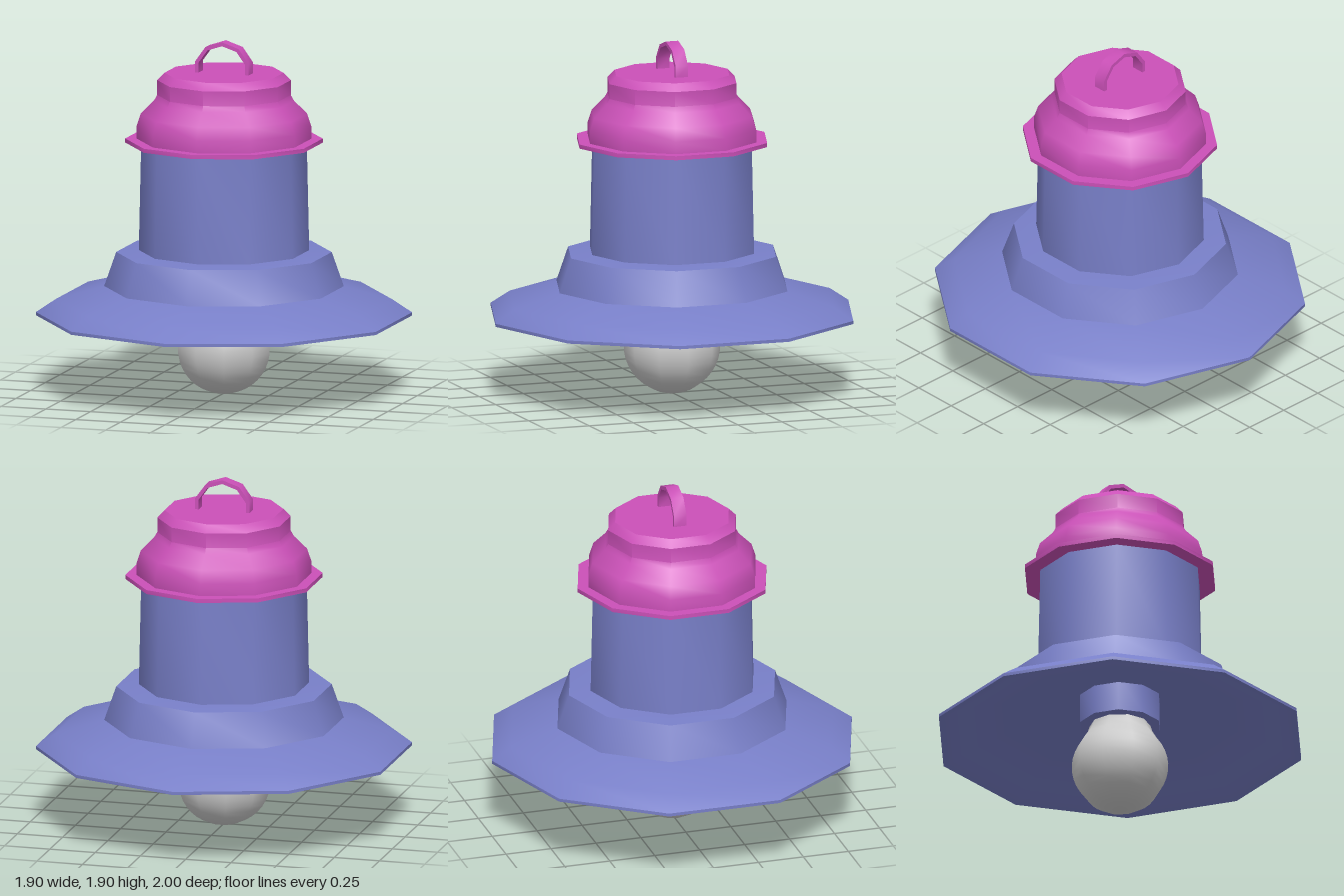
import * as THREE from 'three';
import { toCreasedNormals } from 'three/addons/utils/BufferGeometryUtils.js';

const SIDES = 10;
const CREASE = 0.7;

const blue = new THREE.MeshStandardMaterial({ color: 0x787fc8 });
const magenta = new THREE.MeshStandardMaterial({ color: 0xcb50b8 });
const grey = new THREE.MeshStandardMaterial({ color: 0xcccccc });

// Ten-sided turned part from [radius, height] pairs, listed bottom to top
function turned(name, profile, material) {
  const points = profile.map(([r, y]) => new THREE.Vector2(r, y));
  const geometry = toCreasedNormals(new THREE.LatheGeometry(points, SIDES), CREASE);
  const mesh = new THREE.Mesh(geometry, material);
  mesh.name = name;
  return mesh;
}

// Wire-like strap: a bent band extruded along z
function createHandle() {
  const outer = [[0.15, 1.72], [0.15, 1.79], [0.093, 1.869], [0, 1.9]];
  const inner = [[0.13, 1.72], [0.13, 1.784], [0.081, 1.852], [0, 1.879]];
  const mirror = (list) => list.slice(0, -1).reverse().map(([x, y]) => [-x, y]);
  const arch = (list) => [...list, ...mirror(list)];
  const outline = [...arch(outer), ...arch(inner).reverse()];
  const shape = new THREE.Shape(outline.map(([x, y]) => new THREE.Vector2(x, y)));
  const geometry = new THREE.ExtrudeGeometry(shape, { depth: 0.07, bevelEnabled: false });
  geometry.translate(0, 0, -0.035);
  const mesh = new THREE.Mesh(toCreasedNormals(geometry, CREASE), magenta);
  mesh.name = 'handle';
  return mesh;
}

// Round globe that narrows into a neck inside the socket
function createBulb() {
  const profile = [];
  const radius = 0.257;
  for (let i = 0; i <= 14; i++) {
    const a = (i / 14) * THREE.MathUtils.degToRad(130);
    profile.push([radius * Math.sin(a), 0.26 - 0.255 * Math.cos(a) - 0.005]);
  }
  profile.push([0.172, 0.46], [0.16, 0.5], [0.155, 0.56]);
  const bulb = turned('bulb', profile, grey);
  bulb.rotation.y = Math.PI / 2;
  return bulb;
}

export function createModel() {
  const lamp = new THREE.Group();
  lamp.name = 'lamp';

  // Flared shade with a hollow underside and a stepped shoulder
  lamp.add(turned('shade', [
    [0, 0.66], [0.22, 0.65], [0.6, 0.56], [0.87, 0.485], [0.975, 0.42],
    [1, 0.42], [1, 0.437], [0.895, 0.507], [0.637, 0.578],
    [0.573, 0.762], [0.452, 0.773], [0, 0.773],
  ], blue));

  // Slightly tapered housing
  lamp.add(turned('housing', [[0.453, 0.765], [0.44, 1.36], [0, 1.36]], blue));

  // Cap with flange, rounded shoulder and bevelled top
  lamp.add(turned('cap', [
    [0, 1.353], [0.525, 1.353], [0.525, 1.375], [0.465, 1.375],
    [0.465, 1.44], [0.442, 1.51], [0.372, 1.58], [0.355, 1.61],
    [0.355, 1.69], [0.316, 1.73], [0, 1.73],
  ], magenta));

  lamp.add(createHandle());

  // Socket under the shade
  lamp.add(turned('socket', [[0, 0.49], [0.22, 0.49], [0.22, 0.68]], blue));

  lamp.add(createBulb());
  return lamp;
}
